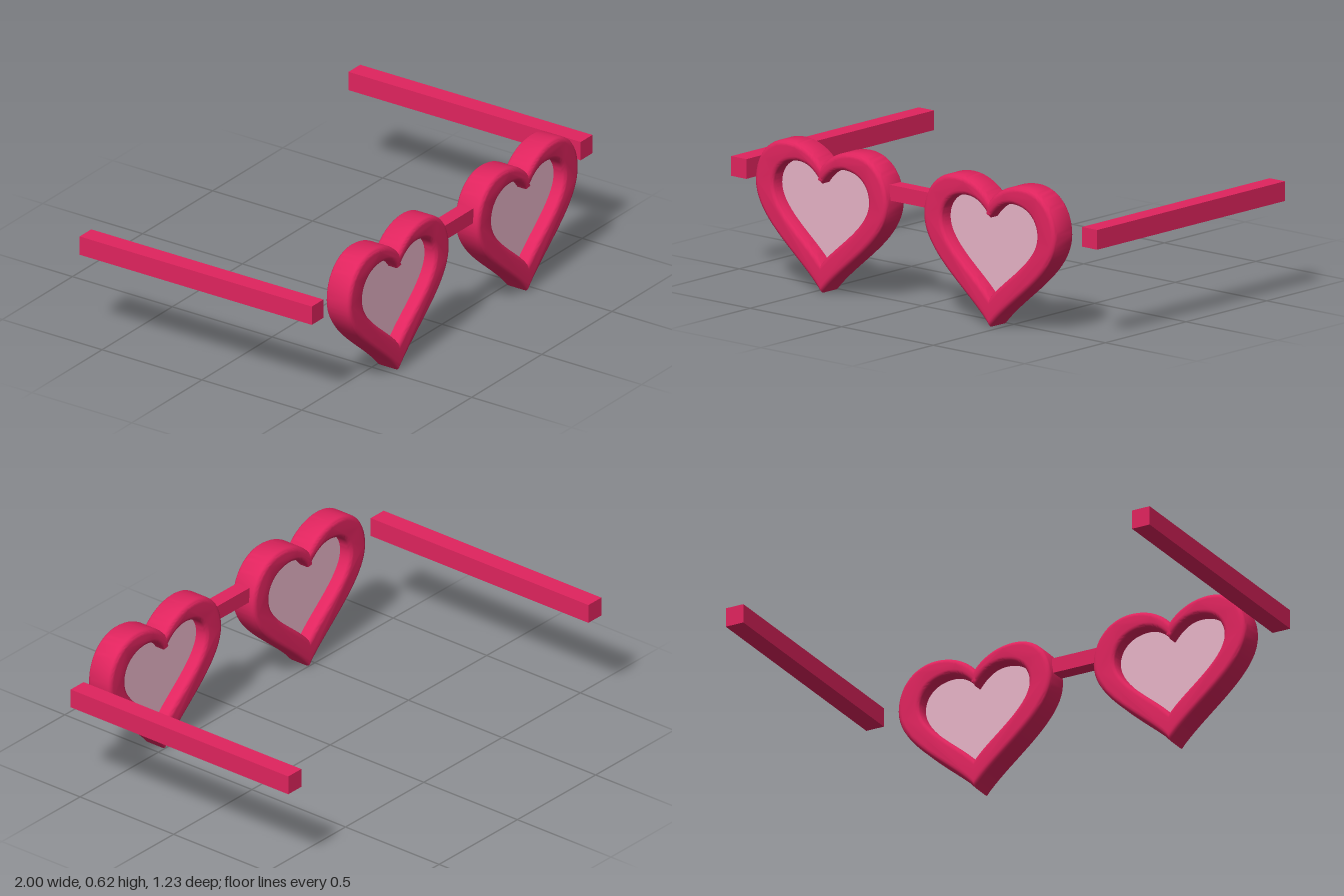
import * as THREE from 'three';
import { toCreasedNormals } from 'three/addons/utils/BufferGeometryUtils.js';

const FRONT_Z = 0.551;

// Traces a heart counter-clockwise from its notch, down the -x side and up the other.
// Each row is one Bezier of the +x half: control 1, control 2, end.
function traceHeart(path, notchY, rows) {
  path.moveTo(0, notchY);
  for (const [ax, ay, bx, by, ex, ey] of rows) path.bezierCurveTo(-ax, ay, -bx, by, -ex, ey);
  for (let i = rows.length - 1; i >= 0; i--) {
    const [ax, ay, bx, by] = rows[i];
    const [ex, ey] = i > 0 ? rows[i - 1].slice(4) : [0, notchY];
    path.bezierCurveTo(bx, by, ax, ay, ex, ey);
  }
  return path;
}

const OUTER = [
  [0.04, 0.58, 0.10, 0.615, 0.182, 0.615],
  [0.29, 0.615, 0.361, 0.53, 0.361, 0.425],
  [0.361, 0.26, 0.12, 0.14, 0, 0],
];
const INNER = [
  [0.03, 0.50, 0.07, 0.535, 0.125, 0.535],
  [0.20, 0.535, 0.257, 0.49, 0.257, 0.42],
  [0.257, 0.31, 0.07, 0.21, 0, 0.125],
];

function box(name, material, w, h, d, x, y, z) {
  const mesh = new THREE.Mesh(new THREE.BoxGeometry(w, h, d), material);
  mesh.name = name;
  mesh.position.set(x, y, z);
  return mesh;
}

export function createModel() {
  const frameRed = new THREE.MeshStandardMaterial({ color: 0xe0245e });
  frameRed.name = 'frameRed';
  const lensPink = new THREE.MeshStandardMaterial({ color: 0xe6b3c6 });
  lensPink.name = 'lensPink';

  const group = new THREE.Group();
  group.name = 'heartGlasses';

  // Heart rim with rounded edges, inside and out
  const rimShape = traceHeart(new THREE.Shape(), 0.535, OUTER);
  rimShape.holes.push(traceHeart(new THREE.Path(), 0.46, INNER));
  const rimGeometry = toCreasedNormals(new THREE.ExtrudeGeometry(rimShape, {
    depth: 0.083, curveSegments: 20,
    bevelEnabled: true, bevelThickness: 0.02, bevelSize: 0.02, bevelOffset: -0.02, bevelSegments: 4,
  }).translate(0, 0, -0.0415), 0.6);

  // Thin lens filling the opening
  const lensGeometry = new THREE.ExtrudeGeometry(
    traceHeart(new THREE.Shape(), 0.46, INNER),
    { depth: 0.008, curveSegments: 20, bevelEnabled: false },
  ).translate(0, 0, -0.004);

  for (const [side, s] of [['left', 1], ['right', -1]]) {
    const rim = new THREE.Mesh(rimGeometry, frameRed);
    rim.name = side + 'Rim';
    rim.position.set(s * 0.46, 0, FRONT_Z);
    const lens = new THREE.Mesh(lensGeometry, lensPink);
    lens.name = side + 'Lens';
    lens.position.copy(rim.position);
    // Straight temple arm, set apart from the rim
    const arm = box(side + 'Arm', frameRed, 0.083, 0.083, 1.163, s * 0.9585, 0.442, -0.031);
    group.add(rim, lens, arm);
  }

  // Bridge between the rims
  group.add(box('bridge', frameRed, 0.21, 0.066, 0.066, 0, 0.475, FRONT_Z));
  return group;
}
